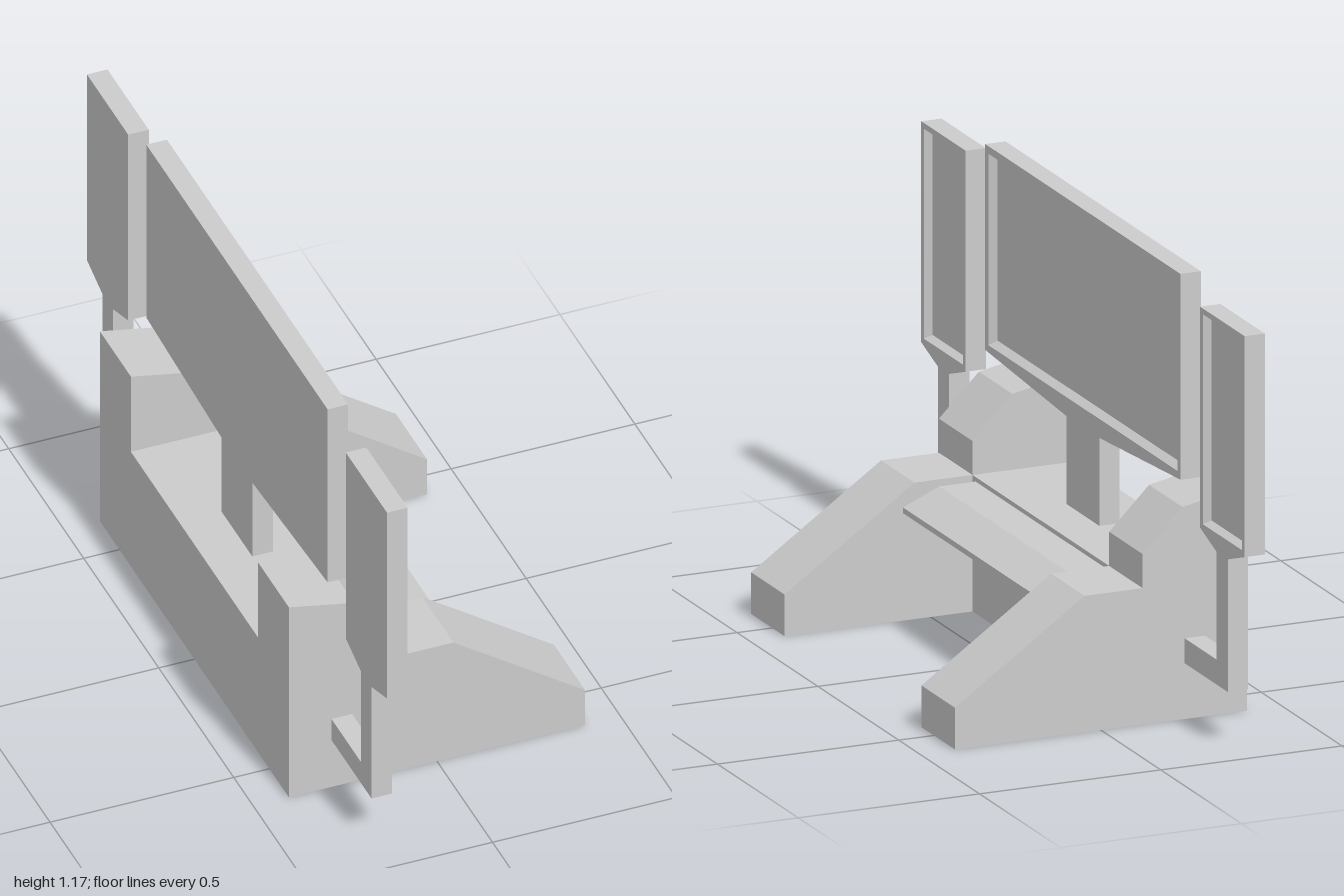
import * as THREE from 'three';
import { mergeGeometries } from 'three/addons/utils/BufferGeometryUtils.js';

const material = new THREE.MeshStandardMaterial({ color: 0xcccccc, flatShading: true });
const BACK = -0.287, FRONT = -0.231, RECESS = 0.02;

const toPoints = (pts) => pts.map(([x, y]) => new THREE.Vector2(x, y));

// Prism with an x/y profile, running from z0 to z1
function prism(name, profile, z0, z1) {
  const geo = new THREE.ExtrudeGeometry(new THREE.Shape(toPoints(profile)), { depth: z1 - z0, bevelEnabled: false });
  geo.translate(0, 0, z0);
  const mesh = new THREE.Mesh(geo, material);
  mesh.name = name;
  return mesh;
}

// Ring of quads joining two loops of equal length
function band(a, za, b, zb) {
  const pos = [];
  a.forEach((p, i) => {
    const j = (i + 1) % a.length;
    const quad = [[p, za], [a[j], za], [b[j], zb], [b[i], zb]];
    for (const k of [0, 1, 2, 0, 2, 3]) pos.push(quad[k][0].x, quad[k][0].y, quad[k][1]);
  });
  const geo = new THREE.BufferGeometry();
  geo.setAttribute('position', new THREE.Float32BufferAttribute(pos, 3));
  return geo;
}

// Flat face at depth z
function face(points, z, hole, flip) {
  const shape = new THREE.Shape(points);
  if (hole) shape.holes.push(new THREE.Path(hole));
  const indexed = new THREE.ShapeGeometry(shape);
  if (flip) indexed.index.array.reverse();
  const geo = indexed.toNonIndexed().translate(0, 0, z);
  geo.deleteAttribute('uv');
  geo.deleteAttribute('normal');
  return geo;
}

// Screen slab with its stand, and a recessed panel with sloping borders
function screen(name, outline, [x0, x1, y0, y1], bevel) {
  const loop = toPoints(outline);
  if (THREE.ShapeUtils.isClockWise(loop)) loop.reverse();
  const rect = (d) => toPoints([[x0 + d, y0 + d], [x0 + d, y1 - d], [x1 - d, y1 - d], [x1 - d, y0 + d]]);
  const opening = rect(0), floor = rect(bevel);
  const geo = mergeGeometries([
    face(loop, FRONT, opening),
    face(loop, BACK, null, true),
    band(loop, BACK, loop, FRONT),
    band(floor, FRONT - RECESS, opening, FRONT),
    face(floor, FRONT - RECESS),
  ]);
  geo.rotateY(Math.PI / 2);
  geo.computeVertexNormals();
  const mesh = new THREE.Mesh(geo, material);
  mesh.name = name;
  return mesh;
}

export function createModel() {
  const group = new THREE.Group();
  group.name = 'controlDesk';

  // Desk: stepped side consoles, a lower central body and a keyboard tray
  const side = [[-0.403, 0], [0.403, 0], [0.403, 0.11], [0.045, 0.36], [-0.115, 0.36],
    [-0.115, 0.45], [-0.225, 0.56], [-0.403, 0.596]];
  group.add(prism('sideConsoleNear', side, 0.423, 0.63));
  group.add(prism('sideConsoleFar', side, -0.63, -0.423));
  group.add(prism('centralBody', [[-0.403, 0], [-0.115, 0], [-0.115, 0.36], [-0.403, 0.36]], -0.423, 0.423));
  group.add(prism('keyboardTray', [[-0.115, 0.29], [0.085, 0.29], [0.085, 0.305],
    [-0.015, 0.348], [-0.115, 0.348]], -0.404, 0.404));

  // Main screen on its central post
  group.add(screen('mainScreen', [[-0.102, 0.36], [0.102, 0.36], [0.102, 0.592], [0.604, 0.624],
    [0.604, 1.167], [-0.604, 1.167], [-0.604, 0.624], [-0.102, 0.592]],
  [-0.585, 0.585, 0.642, 1.147], 0.013));

  // Narrow side screens on L-shaped arms
  const arm = [[0.63, 0.147], [0.897, 0.147], [0.897, 0.497], [1, 0.532], [1, 1.115],
    [0.725, 1.115], [0.725, 0.532], [0.828, 0.497], [0.828, 0.213], [0.63, 0.213]];
  for (const s of [1, -1]) {
    const ends = [s * 0.742, s * 0.984].sort((a, b) => a - b);
    group.add(screen(s > 0 ? 'sideScreenFar' : 'sideScreenNear',
      arm.map(([x, y]) => [s * x, y]), [...ends, 0.546, 1.1], 0.01));
  }
  return group;
}
